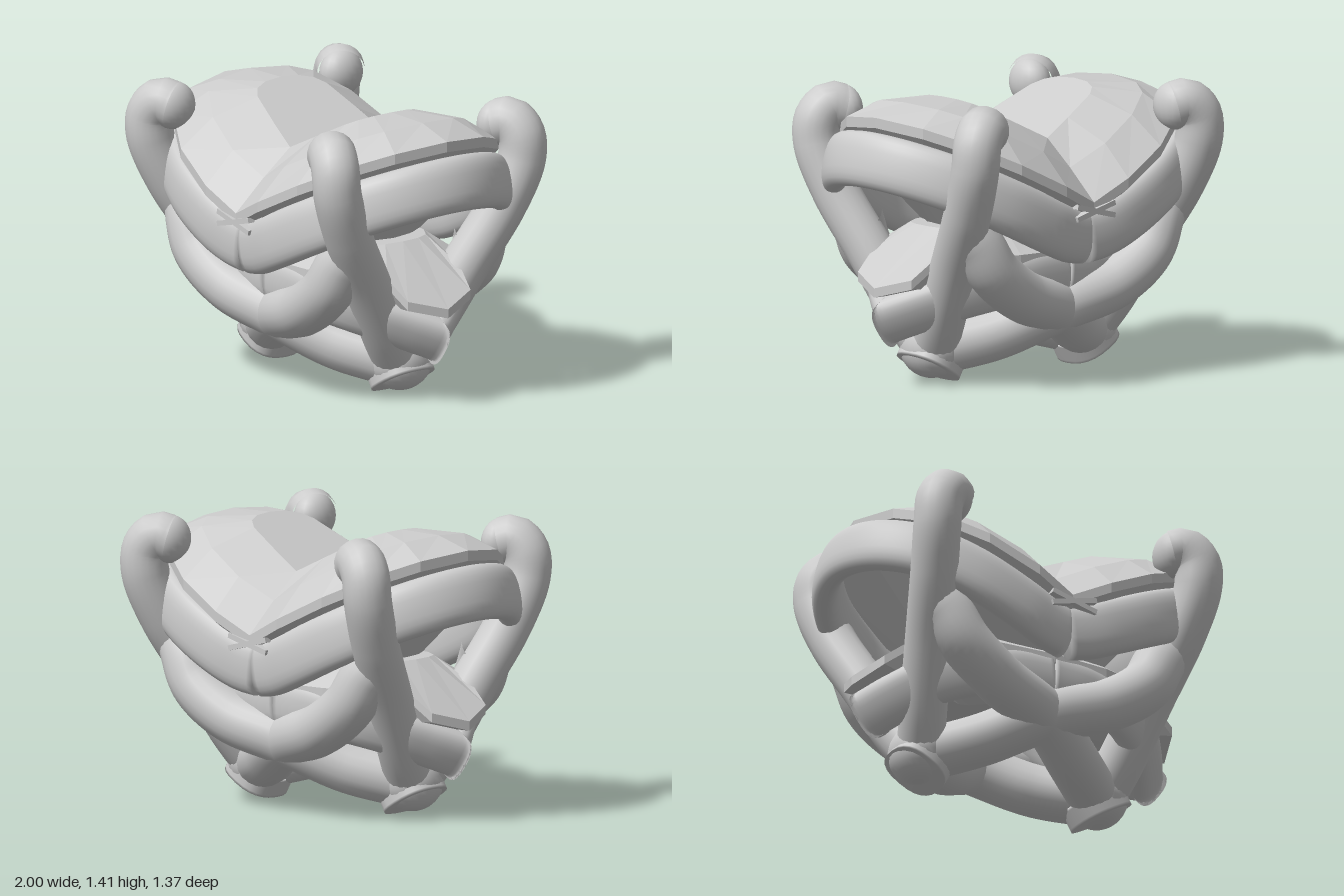
import * as THREE from 'three';

const V = (p) => new THREE.Vector3(...p);

// indexed geometry from a flat point list
function build(pos, idx, flat) {
  let g = new THREE.BufferGeometry();
  g.setAttribute('position', new THREE.Float32BufferAttribute(pos, 3));
  g.setIndex(idx);
  if (flat) g = g.toNonIndexed();
  g.computeVertexNormals();
  return g;
}

// oval section swept along a curve, kept upright to a given normal;
// an optional side (+1 or -1) mitres it flat against the z = 0 plane
function sweep(points, halfW, halfH, up, steps = 48, side = 0) {
  const curve = new THREE.CatmullRomCurve3(points.map(V), false, 'centripetal');
  const pos = [], idx = [], n0 = V(up).normalize(), sides = 24;
  for (let i = -1; i <= steps + 1; i++) {
    const u = Math.min(Math.max(i / steps, 0), 1);
    const k = i < 0 || i > steps ? 0 : 1; // closed ends
    const c = curve.getPointAt(u), t = curve.getTangentAt(u);
    const s = t.clone().cross(n0).normalize(), n = s.clone().cross(t);
    for (let j = 0; j < sides; j++) {
      const a = j / sides * Math.PI * 2, ca = Math.cos(a), sa = Math.sin(a);
      const p = c.clone()
        .addScaledVector(s, k * halfW * Math.sign(ca) * Math.abs(ca) ** 0.8)
        .addScaledVector(n, k * halfH * Math.sign(sa) * Math.abs(sa) ** 0.8);
      if (p.z * side < 0) p.z = 0;
      pos.push(p.x, p.y, p.z);
    }
  }
  for (let i = 0; i < steps + 2; i++) for (let j = 0; j < sides; j++) {
    const a = i * sides + j, b = i * sides + (j + 1) % sides;
    idx.push(a, a + sides, b, b, a + sides, b + sides);
  }
  return build(pos, idx);
}

// quarter outline [x, z] mirrored to a full ring, height given by a rule of x
function ring(quarter, height) {
  const half = [...quarter, ...quarter.slice(0, -1).reverse().map(([x, z]) => [x, -z])];
  const full = [...half, ...half.slice(1, -1).reverse().map(([x, z]) => [-x, z])];
  return full.map(([x, z]) => [x, height(Math.abs(x)), z]);
}

// faceted stone from rings, top to bottom, with both ends closed
function stone(rings, topY, bottomY) {
  const n = rings[0].length, idx = [], pos = rings.flat(2);
  const top = rings.length * n, last = (rings.length - 1) * n;
  pos.push(0, topY, 0, 0, bottomY, 0);
  for (let j = 0; j < n; j++) {
    const k = (j + 1) % n;
    idx.push(top, j, k, top + 1, last + k, last + j);
    for (let r = 0; r < rings.length - 1; r++) {
      const a = r * n + j, b = r * n + k;
      idx.push(a, a + n, b, b, a + n, b + n);
    }
  }
  return build(pos, idx, true);
}

export function createModel() {
  const model = new THREE.Group();
  const silver = new THREE.MeshStandardMaterial({ color: 0xcccccc });
  silver.name = 'silver grey';
  const add = (name, geo, parent = model) => {
    const m = new THREE.Mesh(geo, silver);
    m.name = name;
    parent.add(m);
    return m;
  };

  // folded upper stone
  const girdle = [[0, 0.61], [0.2, 0.635], [0.45, 0.59], [0.66, 0.47], [0.8, 0.27], [0.86, 0]];
  const shoulder = [[0, 0.44], [0.2, 0.47], [0.42, 0.42], [0.58, 0.32], [0.64, 0.21], [0.67, 0]];
  const table = [[0, 0.28], [0.16, 0.25], [0.34, 0.21], [0.39, 0.17], [0.42, 0.1], [0.43, 0]];
  const fold = (y) => (x) => y + 0.5 * x;
  add('upperStone', stone([
    ring(table, fold(1.165)),
    ring(shoulder, fold(1.04)),
    ring(girdle, fold(0.89)),
    ring(girdle, fold(0.84)),
    ring(girdle.map(([x, z]) => [x * 0.45, z * 0.35]), (x) => 0.58 + 0.3 * x),
  ], 1.165, 0.52));

  // crossing tips of the girdle at the fold
  for (const z of [-1, 1]) for (const x of [-1, 1]) {
    const tip = add('girdleTip', new THREE.BoxGeometry(0.25, 0.025, 0.05));
    tip.position.set(0, 0.85, z * 0.605);
    tip.rotation.z = x * 0.25;
  }

  // pointed lower stone, drooping at its two ends
  const leaf = [[0, 0.44], [0.3, 0.42], [0.52, 0.36], [0.68, 0.22], [0.8, 0.19], [0.87, 0]];
  const leafTop = [[0, 0.25], [0.25, 0.24], [0.4, 0.22], [0.48, 0.17], [0.51, 0.1], [0.52, 0]];
  const droop = (y) => (x) => y + 0.75 * Math.min(0.87 - x, 0.2);
  add('lowerStone', stone([
    ring(leafTop, () => 0.76),
    ring(leaf, droop(0.495)),
    ring(leaf, droop(0.45)),
    ring(leaf.map(([x, z]) => [x * 0.4, z * 0.4]), () => 0.45),
  ], 0.76, 0.42));

  // upper rail, one half, with a soft dip at the fold
  const railPath = [[0, 0.53], [0.1, 0.545], [0.25, 0.56], [0.5, 0.53], [0.72, 0.42], [0.87, 0.22], [0.92, 0]];
  const railFull = [...railPath, ...railPath.slice(0, -1).reverse().map(([x, z]) => [x, -z])];
  const rail = sweep(railFull.map(([x, z]) => [x, 0.66 + 0.5 * Math.hypot(x, 0.12), z]),
    0.068, 0.135, [-0.25, 0.97, 0], 72);

  // prongs, crossing bars and lower cradle
  const prongPath = [[0.5, 0.17, 0.02], [0.55, 0.33, 0.13], [0.62, 0.62, 0.3], [0.69, 0.9, 0.47],
    [0.725, 1.12, 0.56], [0.715, 1.24, 0.565], [0.66, 1.3, 0.54], [0.61, 1.285, 0.51]];
  const barPath = [[0.46, 0.17, 0.03], [0.25, 0.235, 0.19], [0, 0.355, 0.34], [-0.3, 0.45, 0.42],
    [-0.5, 0.59, 0.44], [-0.58, 0.72, 0.42], [-0.64, 0.8, 0.38]];
  const cradlePath = [[0.795, 0.305, -0.07], [0.755, 0.335, 0], [0.69, 0.38, 0.1], [0.58, 0.44, 0.23],
    [0.42, 0.49, 0.33], [0.2, 0.53, 0.37], [0, 0.54, 0.38]];
  const tube = (path, r) => new THREE.TubeGeometry(
    new THREE.CatmullRomCurve3(path.map(V), false, 'centripetal'), 56, r, 20);

  // mirrored copy of a point path
  const flip = (path, sx, sz) => path.map(([x, y, z]) => [x * sx, y, z * sz]);

  for (const sx of [-1, 1]) {
    const side = new THREE.Group();
    side.name = sx > 0 ? 'leftSide' : 'rightSide';
    model.add(side);

    add('upperRail', rail, side).rotation.y = sx > 0 ? 0 : Math.PI;

    // tilted round foot that joins both prongs
    const footPath = flip([[0.52, 0.077, 0], [0.5, 0.112, 0], [0.47, 0.165, 0]], sx, 1);
    add('foot', sweep(footPath, 0.15, 0.15, [0, 0, 1], 8), side);
    const ankle = add('ankle', new THREE.SphereGeometry(0.15, 24, 16), side);
    ankle.position.set(sx * 0.5, 0.175, 0);
    ankle.scale.set(0.95, 1, 1.08);

    for (const sz of [-1, 1]) {
      const prong = flip(prongPath, sx, sz);
      add('prong', tube(prong, 0.116), side);
      const tip = add('prongTip', new THREE.SphereGeometry(0.116, 20, 14), side);
      tip.position.set(...prong[prong.length - 1]);
      tip.scale.set(0.75, 1, 1);
      add('crossingBar', tube(flip(barPath, sx, sz), 0.128), side);
      add('lowerCradle', sweep(flip(cradlePath, sx, sz), 0.07, 0.12, [sx * 0.57, 0.82, 0], 48, sz), side);
    }
  }
  return model;
}
